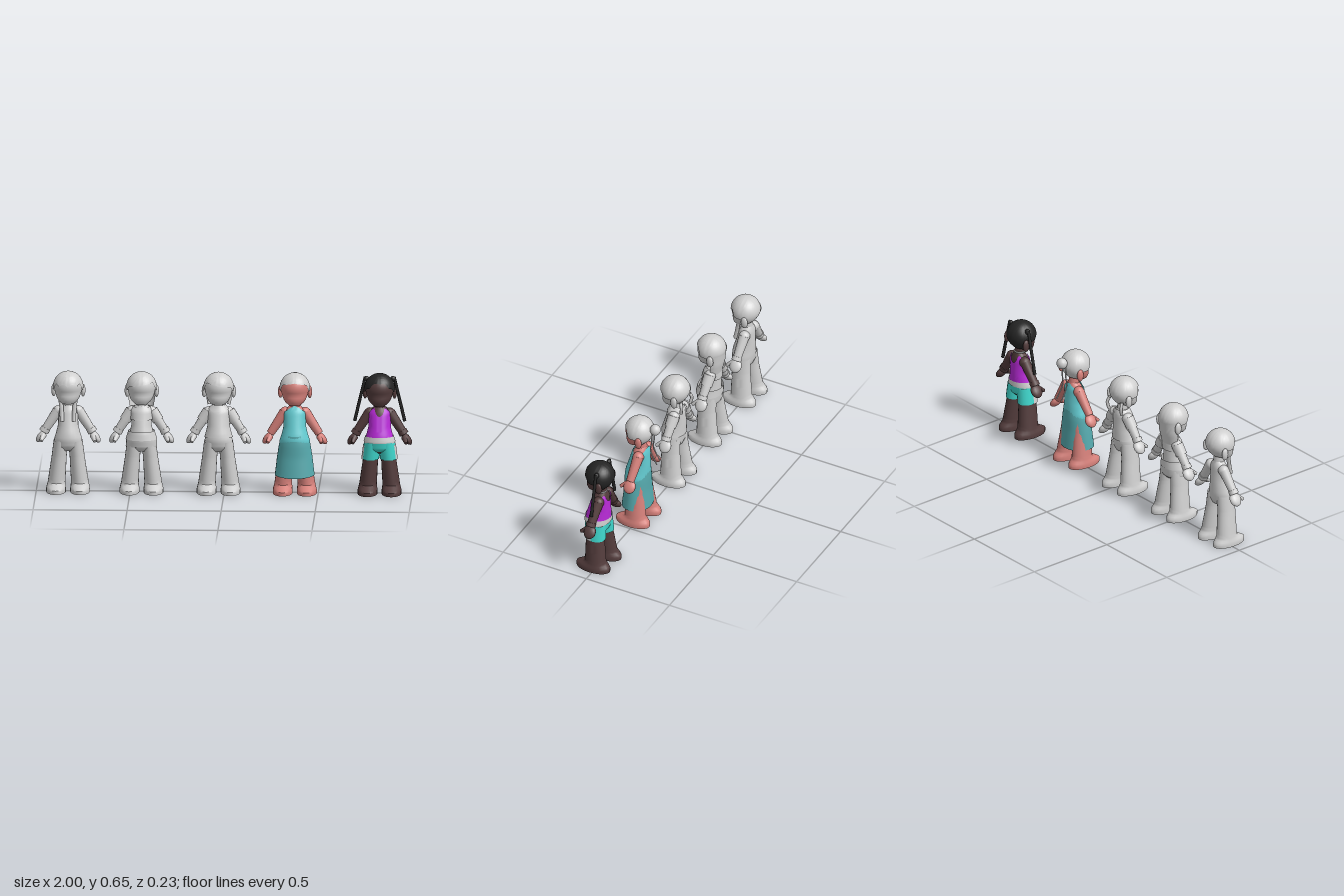
import * as THREE from 'three';
import { toCreasedNormals } from 'three/addons/utils/BufferGeometryUtils.js';

const paint = (name, color) => {
  const m = new THREE.MeshStandardMaterial({ color, side: THREE.DoubleSide });
  m.name = name;
  return m;
};
const grey = paint('light grey', 0xcfcfcf), pink = paint('pink skin', 0xd5807a), brown = paint('brown skin', 0x533c3c),
  black = paint('black hair', 0x242424), purple = paint('purple', 0xb92bd8), turquoise = paint('turquoise', 0x3fd6cc),
  aqua = paint('aqua bodice', 0x64ccd2), teal = paint('teal skirt', 0x56aaae);

const { lerp, smoothstep } = THREE.MathUtils;

// Profile from rows of [y, halfWidth, zFront, zBack, centreX]
const table = rows => y => {
  let i = 0;
  while (i < rows.length - 2 && y > rows[i + 1][0]) i++;
  const a = rows[i], b = rows[i + 1];
  const t = THREE.MathUtils.clamp((y - a[0]) / (b[0] - a[0]), 0, 1);
  return [1, 2, 3, 4].map(k => lerp(a[k] || 0, b[k] || 0, t));
};

const jaw = table([[.483, .03, .068, .025], [.495, .048, .075, -.01], [.515, .062, .081, -.038],
  [.543, .071, .077, -.055], [.557, .074, .085, -.062], [.57, .075, .085, -.065]]);
const headProfile = grow => y => {
  if (y < .57) {
    const [rx, f, b] = jaw(y);
    return [rx + grow, f + grow, b - grow, 0];
  }
  const c = Math.sqrt(Math.max(0, 1 - ((y - .57) / (.076 + grow)) ** 2));
  return [(.075 + grow) * c, .01 + (.075 + grow) * c, .01 - (.075 + grow) * c, 0];
};
const torso = table([[.225, .055, .05, -.03], [.25, .077, .073, -.04], [.29, .074, .081, -.044], [.32, .064, .076, -.044],
  [.36, .054, .064, -.044], [.40, .053, .052, -.042], [.44, .055, .04, -.04], [.46, .04, .03, -.036], [.475, .026, .024, -.032]]);
const leg = table([[0, .053, .113, -.083, .064], [.02, .053, .113, -.083, .064], [.05, .047, .062, -.057, .062],
  [.19, .04, .064, -.04, .048], [.28, .039, .07, -.037, .038]]);
const skirtShape = table([[.09, .107, .1, -.06], [.2, .094, .088, -.052], [.27, .083, .088, -.052], [.32, .068, .083, -.05]]);
const longHair = table([[.43, .058, .03, -.046], [.5, .071, .04, -.062], [.57, .08, .08, -.07]]);

const at = (v, a) => (typeof v === 'function' ? v(a) : v);

// Surface wrapped around a profile between two heights; angle 0 faces the front
function wrap(profile, lo, hi, { off = 0, a0 = 0, a1 = 2 * Math.PI, segs = 20, rows = 8, ease = false, cap = false } = {}) {
  const pos = [], index = [], first = cap ? -1 : 0;
  for (let j = first; j <= rows; j++) for (let i = 0; i <= segs; i++) {
    const a = lerp(a0, a1, i / segs);
    const t = Math.max(j, 0) / rows;
    const y = lerp(at(lo, a), at(hi, a), ease ? Math.sin(t * Math.PI / 2) : t);
    const [rx, f, b, cx] = profile(y);
    const r = j < 0 ? 0 : 1;
    pos.push(cx + r * (rx + off) * Math.sin(a), y, (f + b) / 2 + r * ((f - b) / 2 + off) * Math.cos(a));
  }
  const n = segs + 1;
  for (let j = 0; j < rows - first; j++) for (let i = 0; i < segs; i++) {
    const p = j * n + i;
    index.push(p, p + 1, p + n + 1, p, p + n + 1, p + n);
  }
  const g = new THREE.BufferGeometry();
  g.setAttribute('position', new THREE.Float32BufferAttribute(pos, 3));
  g.setIndex(index);
  return toCreasedNormals(g, 0.9);
}

function add(group, name, geometry, material) {
  const m = new THREE.Mesh(geometry, material);
  m.name = name;
  group.add(m);
  return m;
}

// Tapered round limb between two points
function limb(group, name, p, q, r0, r1, material, sides = 12) {
  const a = new THREE.Vector3(...p), b = new THREE.Vector3(...q);
  const m = add(group, name, new THREE.CylinderGeometry(r1, r0, a.distanceTo(b), sides), material);
  m.position.copy(a).lerp(b, .5);
  m.quaternion.setFromUnitVectors(new THREE.Vector3(0, 1, 0), b.sub(a).normalize());
  return m;
}

function ball(group, name, c, r, material) {
  const m = add(group, name, new THREE.SphereGeometry(1, 14, 10), material);
  m.position.set(...c);
  m.scale.set(...r);
  return m;
}

function strand(group, name, points, radius, material) {
  const curve = new THREE.CatmullRomCurve3(points.map(p => new THREE.Vector3(...p)));
  return add(group, name, new THREE.TubeGeometry(curve, 10, radius, 6), material);
}

// Hairline height: fringe in front, above the ears at the sides, low at the nape
const hairline = fringe => a => {
  const s = a > Math.PI ? a - 2 * Math.PI : a, d = Math.abs(s);
  const side = lerp(fringe(s, d), .555, smoothstep(d, .9, 1.25));
  return lerp(side, .508, smoothstep(d, 1.95, 2.25));
};

function figure(name, x, skin, legs, hair, fringe, cuffs, dressHalf) {
  const g = new THREE.Group();
  g.name = name;
  g.position.x = x;
  add(g, 'head', wrap(headProfile(0), .483, .646, { segs: 28, rows: 18, ease: true, cap: true }), skin);
  add(g, 'hair', wrap(headProfile(.006), hairline(fringe), .652, { segs: 64, rows: 12, ease: true }), hair);
  limb(g, 'neck', [0, .45, -.004], [0, .51, .004], .029, .029, skin);
  add(g, 'torso', wrap(torso, .225, .475, { rows: 20, cap: true }), skin);
  for (const s of [1, -1]) {
    const h = new THREE.Group();
    h.name = s > 0 ? 'leftSide' : 'rightSide';
    h.scale.x = s;
    g.add(h);
    ball(h, 'ear', [.078, .542, -.022], [.013, .034, .02], skin);
    ball(h, 'shoulder', [.052, .432, -.01], [.03, .03, .03], skin);
    limb(h, 'arm', [.055, .434, -.01], [.13, .32, -.002], .029, .022, skin);
    if (cuffs) limb(h, 'cuff', [.118, .34, -.003], [.13, .32, -.002], .026, .027, skin);
    ball(h, 'hand', [.145, .294, -.006], [.019, .038, .034], skin).rotation.z = .65;
    limb(h, 'thumb', [.13, .305, .012], [.143, .279, .049], .016, .009, skin, 8);
    add(h, 'leg', wrap(leg, 0, .28, { rows: 28, cap: true }), legs);
    if (dressHalf) dressHalf(h);
  }
  return g;
}

const sleeve = h => limb(h, 'sleeve', [.054, .437, -.01], [.088, .385, -.006], .033, .031, grey);

export function createModel() {
  const model = new THREE.Group();
  model.name = 'fiveFigures';

  // Figure with a jagged fringe and long front locks
  model.add(figure('longLocksFigure', -.83, grey, grey, grey, a => .578 + .014 * Math.abs(Math.sin(5 * a)), true, h =>
    strand(h, 'frontLock', [[.045, .525, .025], [.036, .47, .038], [.033, .43, .046], [.032, .388, .056]], .011, grey)));

  // Figure with a cropped top, wrapped skirt and long back hair
  const crop = figure('croppedTopFigure', -.44, grey, grey, grey, a => .59 + .015 * Math.sin(a), true, sleeve);
  add(crop, 'croppedTop', wrap(torso, .395, .462, { off: .007 }), grey);
  add(crop, 'waistWrap', wrap(torso, .29, .335, { off: .01 }), grey);
  add(crop, 'shortSkirt', wrap(torso, a => .245 + .008 * Math.cos(a), .3, { off: .007 }), grey);
  add(crop, 'backHair', wrap(longHair, .435, .565, { a0: 1.7, a1: 4.58 }), grey);
  model.add(crop);

  // Figure with a collared shirt and short tails
  const shirt = figure('shirtFigure', -.03, grey, grey, grey, a => .59 - .015 * Math.sin(a), true, h => {
    sleeve(h);
    strand(h, 'shortTail', [[.05, .535, -.048], [.058, .505, -.058], [.052, .465, -.052]], .009, grey);
  });
  add(shirt, 'shirt', wrap(torso, a => .302 + .006 * Math.cos(a), .465, { off: .006, rows: 14 }), grey);
  add(shirt, 'collar', wrap(torso, a => .452 - .025 * Math.max(0, Math.cos(a)) ** 6, .475, { off: .01 }), grey);
  model.add(shirt);

  // Figure in a long dress with a bun and ribbons
  const dress = figure('dressFigure', .375, pink, pink, grey, (a, d) => .607 - .015 * d, false, h => {
    strand(h, 'ribbon', [[.012, .585, -.068], [.014, .53, -.07], [.016, .47, -.064], [.018, .43, -.082], [.02, .392, -.104]], .0035, grey);
  });
  add(dress, 'bodice', wrap(torso, .27, a => .435 + .04 * Math.cos(a) ** 2, { off: .006, rows: 16, segs: 32 }), aqua);
  add(dress, 'skirt', wrap(skirtShape, a => .1 - .008 * Math.cos(a) ** 2, .318, { rows: 14, segs: 28 }), teal);
  ball(dress, 'bun', [0, .604, -.084], [.03, .031, .029], grey);
  model.add(dress);

  // Figure in a tank top and striped shorts with long pigtails
  const sporty = figure('sportyFigure', .826, brown, brown, black, (a, d) => .607 - .03 * smoothstep(d, .35, .8), true, h => {
    add(h, 'shortsLeg', wrap(leg, .19, .28, { off: .006 }), turquoise);
    add(h, 'stripe', wrap(leg, .19, .27, { off: .009, a0: .95, a1: 1.5, segs: 4 }), grey);
    add(h, 'hipStripe', wrap(torso, .235, .285, { off: .0085, a0: .95, a1: 1.5, segs: 4 }), grey);
    ball(h, 'pigtailKnot', [.07, .618, -.006], [.016, .016, .013], black);
    limb(h, 'pigtail', [.077, .628, -.006], [.133, .39, -.008], .008, .009, black, 8);
  });
  add(sporty, 'shortsHips', wrap(torso, .235, .29, { off: .006 }), turquoise);
  add(sporty, 'belt', wrap(torso, .284, .315, { off: .01 }), grey);
  add(sporty, 'tankTop', wrap(torso, .3, a => .422 + .044 * Math.sin(2 * a) ** 2, { off: .006, rows: 16, segs: 40 }), purple);
  const choker = add(sporty, 'choker', new THREE.TorusGeometry(.03, .004, 6, 20), grey);
  choker.rotation.x = Math.PI / 2;
  choker.position.y = .48;
  model.add(sporty);

  return model;
}
